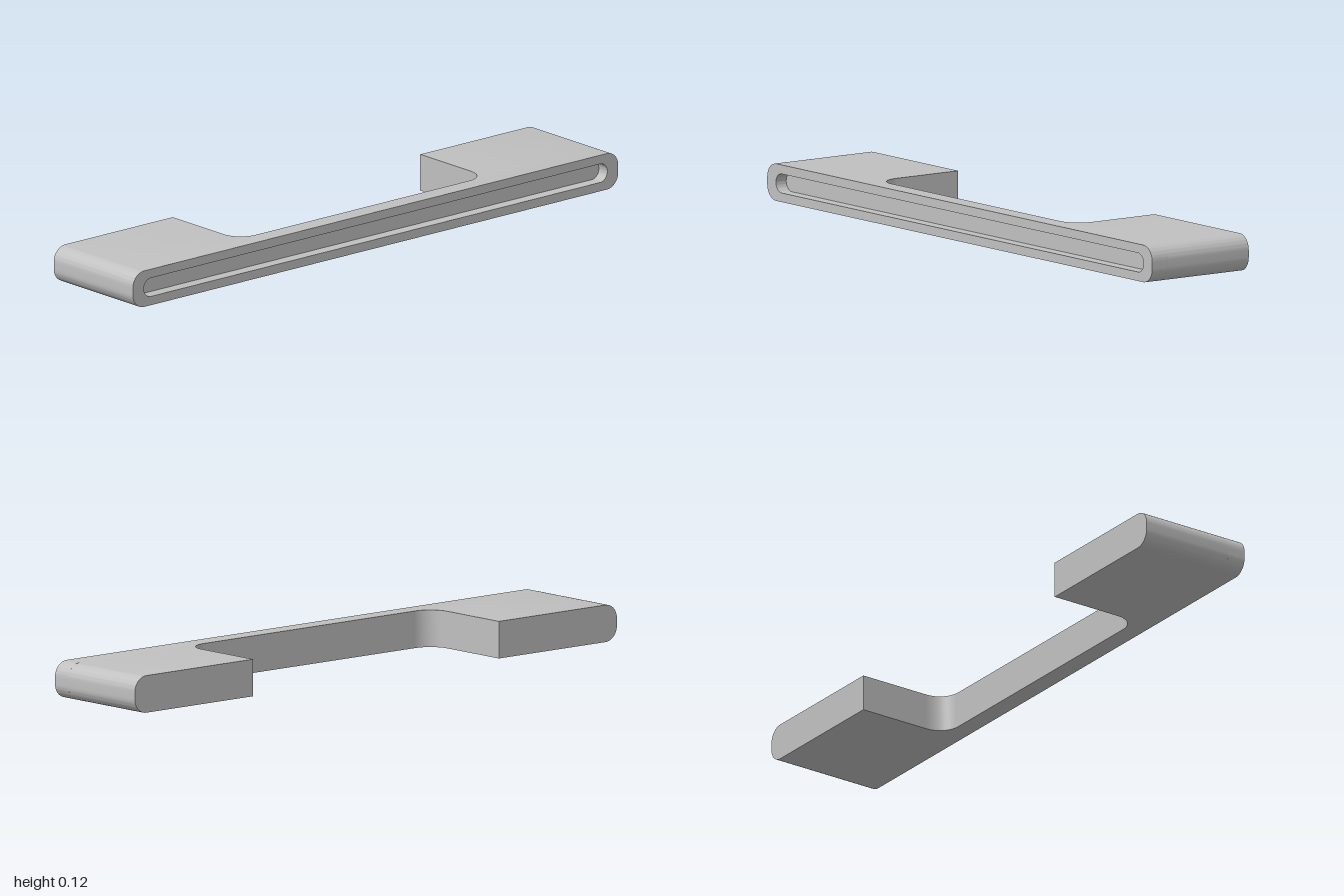
import * as THREE from 'three';
import { toCreasedNormals } from 'three/addons/utils/BufferGeometryUtils.js';

const H = 0.117, BACK = -0.187, FRONT = 0.187;
const WEB_BACK = 0.125, GROOVE_FLOOR = 0.147;
const CORNER = 0.047, PAD_X = 0.51, FILLET = 0.07;

// Rounded rectangle centred on x = 0, at mid height
function roundedBar(PathType, halfW, halfH, r) {
  const p = new PathType(), c = H / 2;
  p.absarc(halfW - r, c + halfH - r, r, 0, Math.PI / 2);
  p.absarc(-halfW + r, c + halfH - r, r, Math.PI / 2, Math.PI);
  p.absarc(-halfW + r, c - halfH + r, r, Math.PI, Math.PI * 1.5);
  p.absarc(halfW - r, c - halfH + r, r, Math.PI * 1.5, Math.PI * 2);
  p.closePath();
  return p;
}

function extrude(shape, depth) {
  return new THREE.ExtrudeGeometry(shape, { depth, bevelEnabled: false, curveSegments: 12 });
}

export function createModel() {
  const group = new THREE.Group();
  const metal = new THREE.MeshStandardMaterial({ color: 0xc0c0c0 });
  metal.name = 'grey metal';

  const add = (name, geometry) => {
    const mesh = new THREE.Mesh(toCreasedNormals(geometry, 0.6), metal);
    mesh.name = name;
    group.add(mesh);
  };

  // Front rim with the long groove
  const rim = roundedBar(THREE.Shape, 1, H / 2, CORNER);
  rim.holes.push(roundedBar(THREE.Path, 0.955, 0.03, 0.0299));
  add('groovedFront', extrude(rim, FRONT - GROOVE_FLOOR).translate(0, 0, GROOVE_FLOOR));

  // Thin web closing the groove
  const web = roundedBar(THREE.Shape, 1, H / 2, CORNER);
  add('gripBar', extrude(web, GROOVE_FLOOR - WEB_BACK).translate(0, 0, WEB_BACK));

  for (const side of [1, -1]) {
    const prefix = side > 0 ? 'left' : 'right';

    // End block with its rounded outer edge
    const pts = [new THREE.Vector2(side * PAD_X, 0)];
    for (const [cy, start] of [[CORNER, -Math.PI / 2], [H - CORNER, 0]]) {
      for (let i = 0; i <= 12; i++) {
        const a = start + (i / 12) * Math.PI / 2;
        pts.push(new THREE.Vector2(side * (1 - CORNER + CORNER * Math.cos(a)), cy + CORNER * Math.sin(a)));
      }
    }
    pts.push(new THREE.Vector2(side * PAD_X, H));
    add(prefix + 'EndBlock', extrude(new THREE.Shape(pts), WEB_BACK - BACK).translate(0, 0, BACK));

    // Concave fillet between block and bar
    const corner = [new THREE.Vector2(side * PAD_X, WEB_BACK)];
    for (let i = 0; i <= 12; i++) {
      const a = (i / 12) * Math.PI / 2;
      corner.push(new THREE.Vector2(
        side * (PAD_X - FILLET + FILLET * Math.cos(a)),
        WEB_BACK - FILLET + FILLET * Math.sin(a)));
    }
    add(prefix + 'Fillet', extrude(new THREE.Shape(corner), H).rotateX(Math.PI / 2).translate(0, H, 0));
  }
  return group;
}
